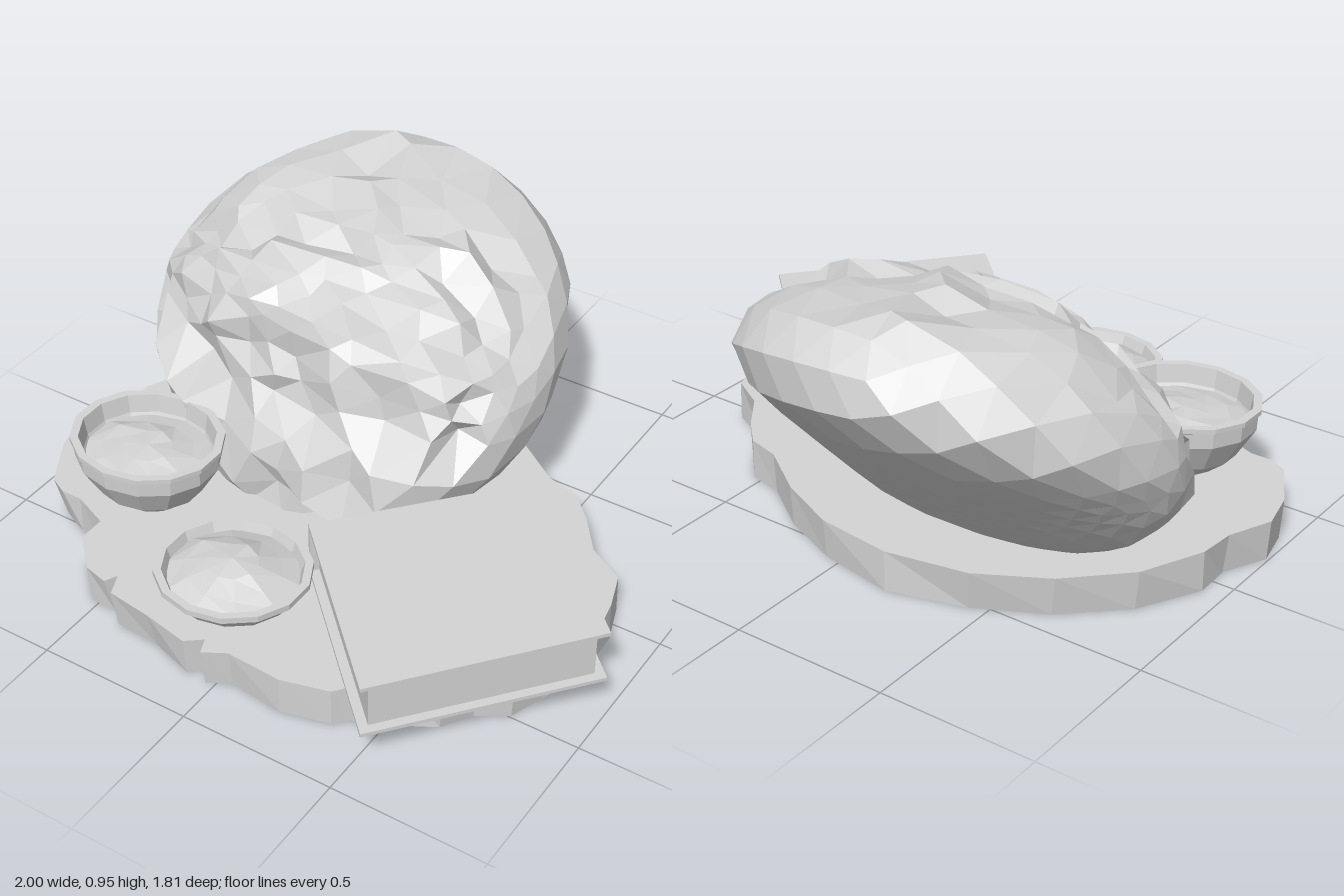
import * as THREE from 'three';

const stone = new THREE.MeshStandardMaterial({ color: 0xd4d4d4, flatShading: true });
stone.name = 'pale grey';

// Repeatable noise in 0..1 from a position, so shared corners move together
function hash(x, y, z, k) {
  const q = v => Math.round(v * 1000);
  const s = Math.sin(q(x) * 0.1271 + q(y) * 0.3117 + q(z) * 0.0747 + k * 5.37) * 43758.5453;
  return s - Math.floor(s);
}

function add(group, name, geometry) {
  const mesh = new THREE.Mesh(geometry, stone);
  mesh.name = name;
  group.add(mesh);
}

// Upright slab over an outline of [x, z] points
function slab(outline, y0, y1) {
  const shape = new THREE.Shape(outline.map(([x, z]) => new THREE.Vector2(x, -z)));
  const g = new THREE.ExtrudeGeometry(shape, { depth: y1 - y0, bevelEnabled: false });
  return g.rotateX(-Math.PI / 2).translate(0, y0, 0);
}

function moveVertices(g, rule) {
  const p = g.attributes.position;
  const v = new THREE.Vector3();
  for (let i = 0; i < p.count; i++) {
    rule(v.fromBufferAttribute(p, i));
    p.setXYZ(i, v.x, v.y, v.z);
  }
  g.computeVertexNormals();
  return g;
}

// Chipped flat base with an uneven lower edge
function baseGeometry() {
  const outline = [
    [-1, 0.2], [-0.97, 0.33], [-0.88, 0.49], [-0.82, 0.52], [-0.75, 0.52], [-0.63, 0.57],
    [-0.63, 0.66], [-0.53, 0.76], [-0.45, 0.78], [-0.43, 0.74], [-0.4, 0.81], [-0.25, 0.83],
    [-0.1, 0.86], [-0.05, 0.82], [-0.03, 0.87], [0.04, 0.83], [0.22, 0.84], [0.37, 0.8],
    [0.41, 0.75], [0.5, 0.75], [0.56, 0.68], [0.65, 0.66], [0.7, 0.56], [0.79, 0.5],
    [0.82, 0.38], [0.89, 0.27], [0.88, 0.18], [0.86, 0.06], [0.82, -0.06], [0.7, -0.13],
    [0.61, -0.25], [0.53, -0.33], [0.42, -0.36], [0.25, -0.48], [0.05, -0.57], [-0.2, -0.6],
    [-0.46, -0.55], [-0.67, -0.43], [-0.84, -0.26], [-0.93, -0.06], [-0.94, 0.06],
  ];
  return moveVertices(slab(outline, 0, 0.13), v => {
    if (v.y < 0.05) {
      const s = 0.965 + 0.04 * hash(v.x, 0, v.z, 1);
      v.x = Math.max(v.x * s, -1);
      v.z *= s;
    }
  });
}

// Leaning rock: side profile swept around, smooth behind and craggy in front
function rockGeometry() {
  const cy = 0.48, cz = -0.27;
  const profile = [
    [0.24, 0.08], [0.29, 0.2], [0.28, 0.36], [0.16, 0.45], [0.14, 0.54], [0.11, 0.7], [-0.05, 0.78],
    [-0.2, 0.86], [-0.36, 0.93], [-0.6, 0.955], [-0.75, 0.945], [-0.87, 0.85], [-0.92, 0.77],
    [-0.87, 0.66], [-0.7, 0.47], [-0.42, 0.18], [-0.28, 0.04], [0, 0.0],
  ].map(([z, y]) => ({
    a: (Math.atan2(y - cy, z - cz) + 2 * Math.PI) % (2 * Math.PI),
    r: Math.hypot(y - cy, z - cz),
  })).sort((p, q) => p.a - q.a);
  const n = profile.length;
  const radius = angle => {
    const a = (angle + 2 * Math.PI) % (2 * Math.PI);
    let i = profile.findIndex(p => p.a > a);
    if (i < 0) i = n;
    const p = profile[(i + n - 1) % n], q = profile[i % n];
    const span = (q.a - p.a + 2 * Math.PI) % (2 * Math.PI);
    const t = ((a - p.a + 2 * Math.PI) % (2 * Math.PI)) / span;
    // straight chord between neighbouring profile points
    return p.r * q.r * Math.sin(span)
      / (p.r * Math.sin(t * span) + q.r * Math.sin((1 - t) * span));
  };
  const g = new THREE.IcosahedronGeometry(1, 5);
  g.rotateZ(0.3);
  return moveVertices(g, d => {
    const { x: dx, y: dy, z: dz } = d;
    const r = 1.005 * radius(Math.atan2(dy, dz));
    d.set(-0.26 + 0.695 * dx, cy + r * dy, cz + r * dz);
    // the front leans fuller towards the left side
    d.z += 0.15 * (d.x + 0.2) * Math.max(0, dz);
    const inside = ((d.x + 0.26) / 0.64) ** 2 + ((d.z + 0.2) / 0.54) ** 2 < 1;
    if (inside && dy * 0.74 + dz * 0.67 > 0.05) {
      const s = 1.02 - 0.17 * hash(dx, dy, dz, 2);
      d.x += 0.07 * (hash(dx, dy, dz, 3) - 0.5);
      d.y = cy + (d.y - cy) * s + 0.03 * (hash(dx, dy, dz, 4) - 0.5);
      d.z = cz + (d.z - cz) * s + 0.03 * (hash(dx, dy, dz, 5) - 0.5);
    }
    d.y = Math.max(d.y, 0.11);
  });
}

// Slightly oval bowl shell and its heaped filling
function bowl(name, x, z, depthScale, shell, heap) {
  const group = new THREE.Group();
  group.name = name;
  const turn = pts => pts.map(([r, y]) => new THREE.Vector2(r, y));
  add(group, name + 'Shell', new THREE.LatheGeometry(turn(shell), 14));
  const filling = new THREE.LatheGeometry(turn(heap), 10);
  add(group, name + 'Filling', moveVertices(filling, v => {
    const r = Math.hypot(v.x, v.z);
    if (r > 0.01 && r < 0.17) v.y += 0.02 * (hash(v.x, 0, v.z, 6) - 0.5);
  }));
  group.position.set(x, 0.13, z);
  group.scale.z = depthScale;
  return group;
}

// Closed book: two covers, a spine and an inset page block
function book() {
  const group = new THREE.Group();
  group.name = 'book';
  const [a, b, c, d] = [[0.51, -0.12], [1, 0.35], [0.54, 0.91], [0.04, 0.42]];
  const mix = (p, q, t) => [p[0] + (q[0] - p[0]) * t, p[1] + (q[1] - p[1]) * t];
  // u runs from spine to fore edge, v along the spine
  const at = (u, v) => mix(mix(a, b, u), mix(d, c, u), v);
  const patch = (u0, u1, v0, v1) => [at(u0, v0), at(u0, v1), at(u1, v1), at(u1, v0)];
  add(group, 'bottomCover', slab(patch(0, 1, 0, 1), 0.138, 0.15));
  add(group, 'topCover', slab(patch(0, 1, 0, 1), 0.308, 0.32));
  add(group, 'spine', slab(patch(0, 0.02, 0, 1), 0.15, 0.308));
  add(group, 'pages', slab(patch(0.02, 0.96, 0.04, 0.96), 0.15, 0.308));
  return group;
}

export function createModel() {
  const model = new THREE.Group();
  model.name = 'stoneStillLife';
  add(model, 'base', baseGeometry());
  add(model, 'rock', rockGeometry());
  model.add(
    bowl('deepBowl', -0.59, 0.365, 0.9,
      [[0, 0], [0.115, 0], [0.175, 0.05], [0.235, 0.15], [0.238, 0.2], [0.247, 0.205],
        [0.247, 0.22], [0.22, 0.22], [0.21, 0.16], [0.18, 0.1], [0, 0.08]],
      [[0.21, 0.15], [0.15, 0.165], [0.08, 0.175], [0, 0.18]]),
    bowl('shallowBowl', -0.1, 0.605, 0.95,
      [[0, 0], [0.13, 0], [0.19, 0.025], [0.23, 0.075], [0.24, 0.08], [0.24, 0.1],
        [0.215, 0.1], [0.2, 0.06], [0, 0.03]],
      [[0.208, 0.068], [0.15, 0.093], [0.08, 0.115], [0, 0.128]]),
    book(),
  );
  return model;
}
